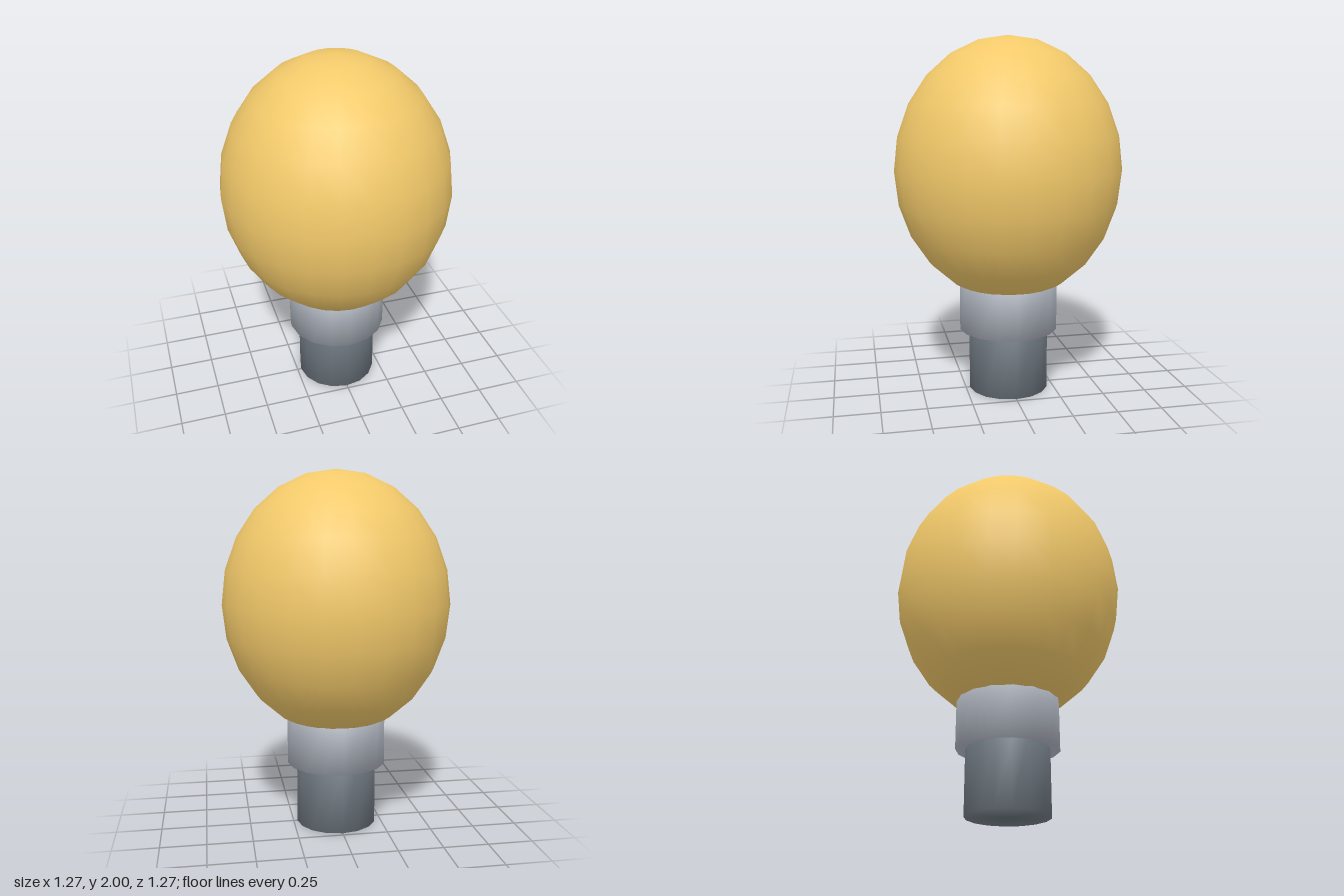
import * as THREE from 'three';
import { mergeVertices } from 'three/addons/utils/BufferGeometryUtils.js';

// Cylinder between two heights, with normals blended softly over its rims
function softCylinder(radius, bottom, top) {
  const geometry = new THREE.CylinderGeometry(radius, radius, top - bottom, 16);
  geometry.translate(0, (bottom + top) / 2, 0);
  geometry.deleteAttribute('uv');
  geometry.deleteAttribute('normal');
  const merged = mergeVertices(geometry);
  merged.computeVertexNormals();
  return merged;
}

export function createModel() {
  const model = new THREE.Group();
  model.name = 'lightBulb';

  function add(name, geometry, color) {
    const mesh = new THREE.Mesh(geometry, new THREE.MeshStandardMaterial({ color }));
    mesh.name = name;
    model.add(mesh);
  }

  // Slightly tall glass globe
  const globe = new THREE.SphereGeometry(1, 24, 12);
  globe.scale(0.633, 0.73, 0.633);
  globe.translate(0, 1.27, 0);
  add('globe', globe, 0xf2c96a);

  // Metal collar, its top sunk into the globe
  add('collar', softCylinder(0.28, 0.355, 0.66), 0xaab0ba);

  // Narrower dark base, its top sunk into the collar
  add('base', softCylinder(0.227, 0, 0.38), 0x6a737b);

  return model;
}
